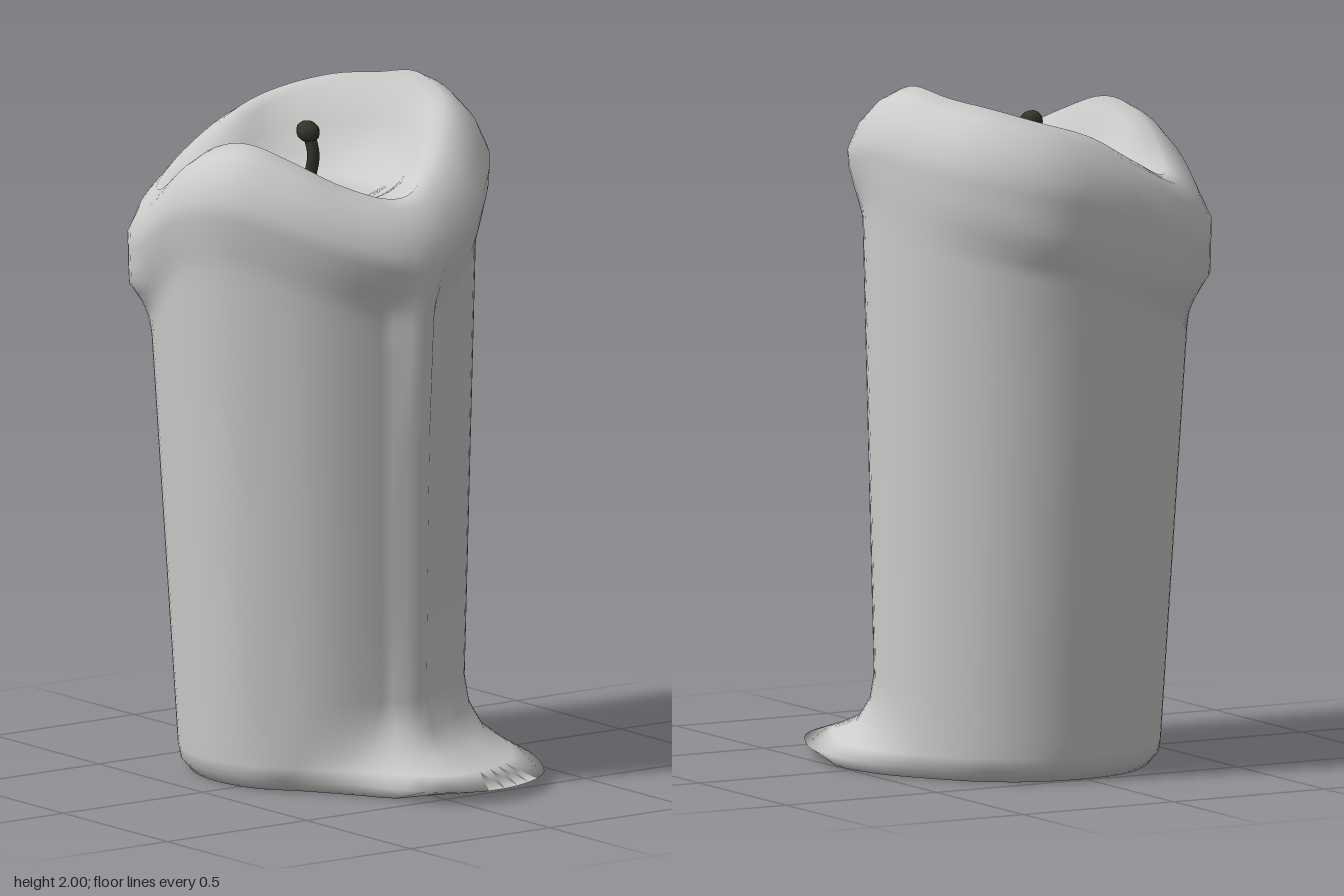
import * as THREE from 'three';

const wax = new THREE.MeshStandardMaterial({ color: 0xcccccb });
wax.name = 'wax';
const char = new THREE.MeshStandardMaterial({ color: 0x33352a });
char.name = 'charredWick';

// Values at 16 even angles: 0 = left side (+x), 4 = front, 8 = right side, 12 = back
const RIM_HEIGHT = [1.74, 1.78, 1.85, 1.9, 1.86, 1.75, 1.73, 1.79, 1.87, 1.92, 1.96, 1.98, 2.0, 1.955, 1.88, 1.79];
const LIP_RADIUS = [0.54, 0.51, 0.495, 0.505, 0.51, 0.53, 0.535, 0.52, 0.51, 0.53, 0.52, 0.5, 0.505, 0.515, 0.5, 0.505];
const FOOT_RADIUS = [0.7, 0.49, 0.41, 0.42, 0.42, 0.42, 0.415, 0.42, 0.415, 0.42, 0.42, 0.43, 0.485, 0.555, 0.62, 0.71];

// Smooth closed interpolation of a table by angle
function around(table, angle) {
  const n = table.length;
  const u = (angle / (Math.PI * 2)) * n;
  const k = Math.floor(u), t = u - k;
  const [a, b, c, d] = [-1, 0, 1, 2].map((o) => table[(k + o + n) % n]);
  return b + 0.5 * t * (c - a + t * (2 * a - 5 * b + 4 * c - d + t * (3 * (b - c) + d - a)));
}

const mix = THREE.MathUtils.lerp;
const smooth = THREE.MathUtils.smoothstep;

// Ridge-shaped bump across an angle
function ridge(angle, centre, width) {
  const d = Math.atan2(Math.sin(angle - centre), Math.cos(angle - centre));
  return Math.exp(-((d / width) ** 4));
}

// Outer wall radius at a height: flattened beside the long drip, which runs down the left side
function wall(angle, y) {
  const width = 0.11 + 0.12 * smooth(y, 1.45, 1.72) + 0.15 * (1 - smooth(y, 0.08, 0.25));
  const drip = ridge(angle, 0, width) * (0.027 + 0.023 * smooth(y, 0.9, 1.55));
  return 0.42 + 0.044 * y - 0.026 * ridge(angle, -0.8, 0.6) - 0.014 * ridge(angle, 0.65, 0.5) + drip;
}

// Vertical section at an angle: [radius, height] from base centre, over the rim, to pool centre
function section(angle) {
  const h = around(RIM_HEIGHT, angle);
  const lip = around(LIP_RADIUS, angle);
  const foot = around(FOOT_RADIUS, angle);
  const pts = [[0, 0.005], [Math.min(foot * 0.93, 0.52), 0.005], [foot, 0.04]];
  for (const [share, y] of [[0.65, 0.075], [0.3, 0.12], [0.08, 0.19], [0, 0.27]]) {
    const w = wall(angle, y);
    pts.push([w + Math.max(0, foot - w) * share, y]);
  }
  for (let i = 1; i <= 4; i++) {
    const y = mix(0.27, h - 0.45, i / 4);
    pts.push([wall(angle, y), y]);
  }
  // The lip swells lower down on the right side
  const swell = 0.16 + 0.14 * Math.max(0, -Math.cos(angle));
  for (const drop of [0.4, 0.36, 0.33, 0.3, 0.26, 0.2, 0.15]) {
    const y = h - drop;
    pts.push([mix(wall(angle, y), lip, 1 - smooth(drop, swell, swell + 0.2)), y]);
  }
  // Short drip hanging below the lip
  const short = ridge(angle, 2.12, 0.15);
  for (const p of pts) p[0] = mix(p[0], Math.max(p[0], 0.54), short * smooth(p[1], 1.38, 1.44));
  // Sloping rim and melted bowl
  pts.push([lip - 0.03, h - 0.08], [lip - 0.08, h - 0.025], [lip - 0.13, h], [lip - 0.165, h - 0.025]);
  pts.push([0.305, mix(1.71, h, 0.5)], [0.26, mix(1.705, h, 0.2)], [0.19, 1.705], [0.09, 1.7]);
  pts.push([0.035, 1.72], [0.018, 1.75], [0, 1.76]);
  return pts;
}

function candleBody() {
  const N = 80;
  const positions = [], index = [];
  let rows = 0;
  for (let i = 0; i < N; i++) {
    const angle = (i / N) * Math.PI * 2;
    const pts = section(angle);
    rows = pts.length;
    pts.forEach(([r, y], j) => {
      // The axis leans slightly; the bowl gathers around the wick
      const inner = j > rows - 8;
      const cx = inner ? -0.115 : mix(-0.1, -0.11, y / 1.8);
      const cz = inner ? 0.03 : mix(-0.015, 0.02, y / 1.8);
      positions.push(cx + r * Math.cos(angle), y, cz + r * Math.sin(angle));
    });
  }
  for (let i = 0; i < N; i++) {
    for (let j = 0; j < rows - 1; j++) {
      const a = i * rows + j, b = ((i + 1) % N) * rows + j;
      if (j > 0) index.push(a, a + 1, b);
      if (j < rows - 2) index.push(b, a + 1, b + 1);
    }
  }
  const g = new THREE.BufferGeometry();
  g.setAttribute('position', new THREE.Float32BufferAttribute(positions, 3));
  g.setIndex(index);
  g.computeVertexNormals();
  return g;
}

export function createModel() {
  const group = new THREE.Group();
  group.name = 'meltedCandle';

  const body = new THREE.Mesh(candleBody(), wax);
  body.name = 'candleBody';
  group.add(body);

  // Bent wick with a burnt knob
  const wick = new THREE.Group();
  wick.name = 'wick';
  const path = new THREE.CatmullRomCurve3([
    new THREE.Vector3(-0.113, 1.74, 0.03),
    new THREE.Vector3(-0.1, 1.8, 0.028),
    new THREE.Vector3(-0.108, 1.84, 0.03),
    new THREE.Vector3(-0.12, 1.875, 0.035),
  ]);
  const stem = new THREE.Mesh(new THREE.TubeGeometry(path, 10, 0.018, 8), char);
  stem.name = 'wickStem';
  const knob = new THREE.Mesh(new THREE.SphereGeometry(0.036, 10, 7), char);
  knob.name = 'wickKnob';
  knob.scale.set(1.05, 0.85, 0.95);
  knob.rotation.z = -0.4;
  knob.position.set(-0.118, 1.87, 0.034);
  wick.add(stem, knob);
  group.add(wick);

  return group;
}
